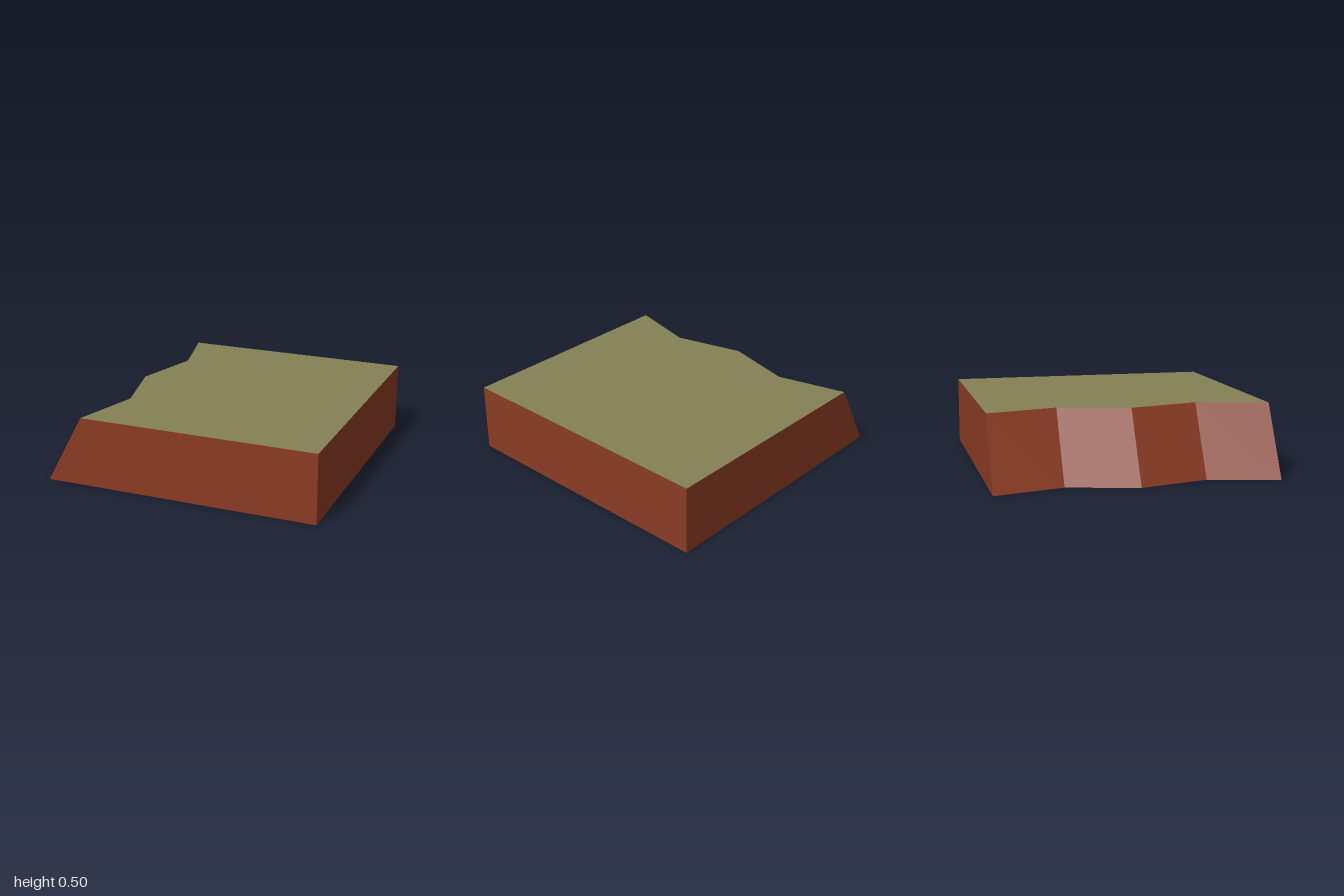
import * as THREE from 'three';

const HEIGHT = 0.5;
const SLOPE_RUN = 0.275; // how far the cliff leans back from foot to top

export function createModel() {
  const earth = new THREE.MeshStandardMaterial({ color: 0x8a3b23 });
  earth.name = 'earth brown';
  const grass = new THREE.MeshStandardMaterial({ color: 0x858055 });
  grass.name = 'dry grass';

  // Ground plan: square block with a zigzag cliff foot along -x
  const plan = new THREE.Shape();
  plan.moveTo(1, -1);
  plan.lineTo(1, 1);
  for (let i = 0; i <= 4; i++) plan.lineTo(i % 2 ? -0.87 : -1, 1 - i * 0.5);
  plan.closePath();

  const geometry = new THREE.ExtrudeGeometry(plan, { depth: HEIGHT, bevelEnabled: false });
  geometry.rotateX(-Math.PI / 2);

  // Lean the cliff edge inward with height
  const pos = geometry.attributes.position;
  for (let i = 0; i < pos.count; i++) {
    if (pos.getX(i) < 0) pos.setX(i, pos.getX(i) + (SLOPE_RUN * pos.getY(i)) / HEIGHT);
  }
  geometry.computeVertexNormals();

  // Underside and walls are earth, the upper cap is grass
  const cap = geometry.groups[0].count / 2;
  geometry.clearGroups();
  geometry.addGroup(0, cap, 0);
  geometry.addGroup(cap, cap, 1);
  geometry.addGroup(cap * 2, pos.count - cap * 2, 0);

  const block = new THREE.Mesh(geometry, [earth, grass]);
  block.name = 'cliffBlock';

  const group = new THREE.Group();
  group.name = 'cliffTile';
  group.add(block);
  return group;
}
